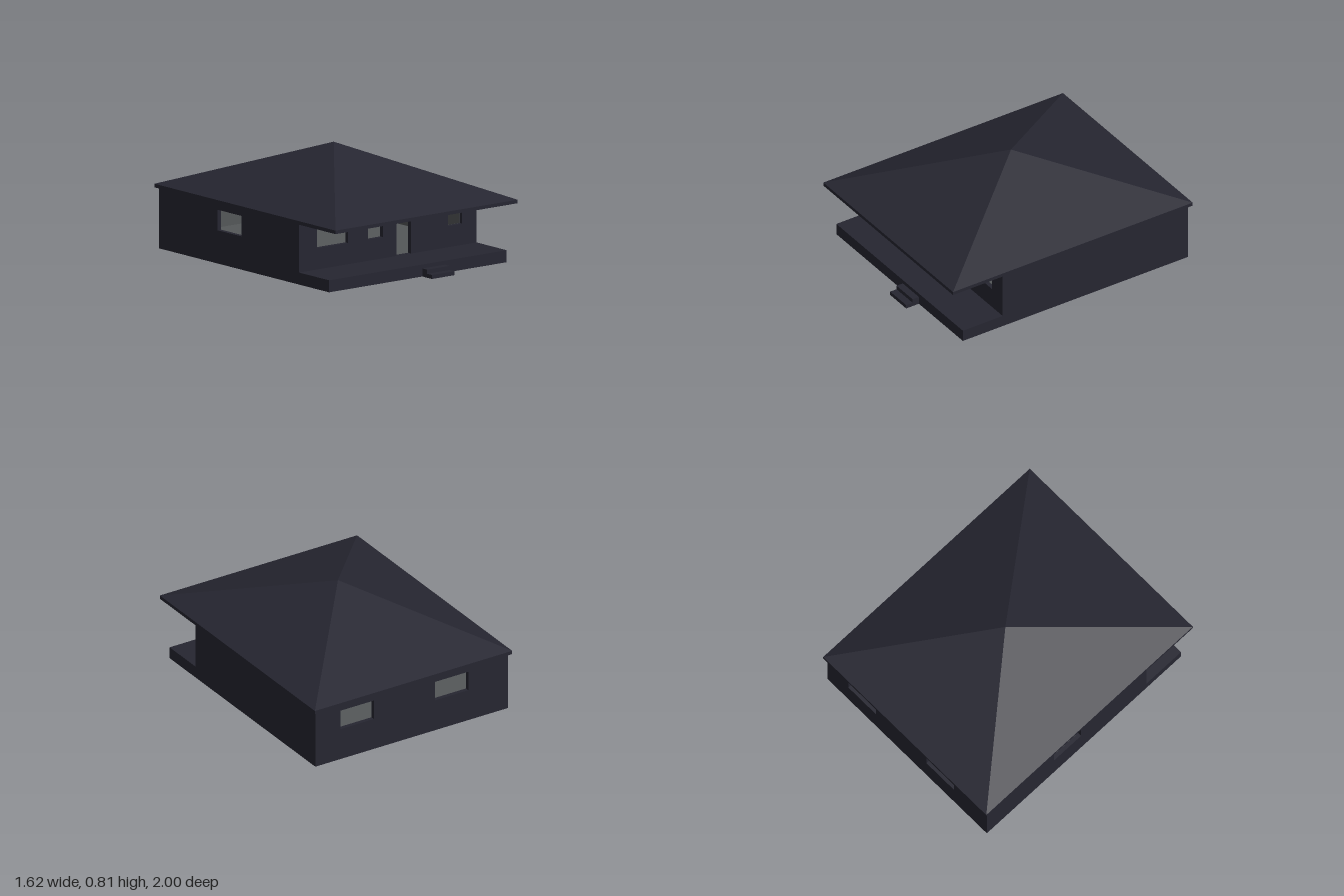
import * as THREE from 'three';

const navy = new THREE.MeshStandardMaterial({ color: 0x262631, side: THREE.DoubleSide });
navy.name = 'darkNavy';
const gray = new THREE.MeshStandardMaterial({ color: 0x545759, side: THREE.DoubleSide });
gray.name = 'interiorGray';

const W = 0.79, BACK = -0.975, FRONT = 0.565, PORCH = 0.895;
const FLOOR = 0.085, EAVE = 0.43, T = 0.03;
const MID = (BACK + FRONT) / 2, DEPTH = FRONT - BACK;

function add(group, name, geometry, material, x = 0, y = 0, z = 0) {
  const mesh = new THREE.Mesh(geometry, material);
  mesh.name = name;
  mesh.position.set(x, y, z);
  group.add(mesh);
  return mesh;
}

function box(group, name, x0, x1, y0, y1, z0, z1) {
  return add(group, name, new THREE.BoxGeometry(x1 - x0, y1 - y0, z1 - z0), navy,
    (x0 + x1) / 2, (y0 + y1) / 2, (z0 + z1) / 2);
}

// Horizontal sheet facing up
function sheet(group, name, material, halfX, y, z0, z1) {
  const g = new THREE.PlaneGeometry(halfX * 2, z1 - z0).rotateX(-Math.PI / 2);
  return add(group, name, g, material, 0, y, (z0 + z1) / 2);
}

// Rectangle with rectangular openings [x0, x1, y0, y1]
function panel(halfWidth, openings) {
  const rect = (s, x0, x1, y0, y1) =>
    s.moveTo(x0, y0).lineTo(x1, y0).lineTo(x1, y1).lineTo(x0, y1).closePath();
  const shape = rect(new THREE.Shape(), -halfWidth, halfWidth, FLOOR, EAVE);
  for (const o of openings) shape.holes.push(rect(new THREE.Path(), ...o));
  return shape;
}

// Wall with a navy outside and a gray inner lining; local +z points outdoors
function wall(group, name, width, openings, x, z, turn) {
  const g = new THREE.Group();
  g.name = name;
  const outer = new THREE.ExtrudeGeometry(panel(width / 2, openings), { depth: T, bevelEnabled: false });
  add(g, name + 'Outside', outer, navy, 0, 0, -T);
  const lining = new THREE.ShapeGeometry(panel(width / 2 - T, openings));
  add(g, name + 'Lining', lining, gray, 0, 0, -T - 0.002);
  g.position.set(x, 0, z);
  g.rotation.y = turn;
  group.add(g);
}

export function createModel() {
  const house = new THREE.Group();
  house.name = 'house';
  const win = (x0, x1) => [x0, x1, 0.235, 0.38];

  // Walls with windows and doorway
  wall(house, 'frontWall', W * 2,
    [win(-0.63, -0.355), win(-0.175, -0.045), [0.075, 0.205, FLOOR + 0.001, 0.38], win(0.535, 0.66)],
    0, FRONT, 0);
  wall(house, 'backWall', W * 2, [win(-0.585, -0.31), win(0.19, 0.465)], 0, BACK, Math.PI);
  wall(house, 'rightWall', DEPTH, [win(-0.125, 0.138)], -W, MID, -Math.PI / 2);
  wall(house, 'leftWall', DEPTH, [], W, MID, Math.PI / 2);

  // Thin skirt around the base, open underneath
  for (const [z, turn] of [[PORCH, 0], [BACK, Math.PI]]) {
    add(house, 'baseSkirt', new THREE.PlaneGeometry(W * 2, FLOOR), navy, 0, FLOOR / 2, z).rotation.y = turn;
  }
  for (const s of [-1, 1]) {
    add(house, 'sideSkirt', new THREE.PlaneGeometry(PORCH - BACK, FLOOR), navy,
      s * W, FLOOR / 2, (PORCH + BACK) / 2).rotation.y = s * Math.PI / 2;
  }

  // Floor, ceiling and porch deck
  sheet(house, 'floor', gray, W - 0.001, FLOOR - 0.001, BACK + 0.001, FRONT);
  sheet(house, 'ceiling', gray, W - T, EAVE - 0.002, BACK + T, FRONT - T);
  sheet(house, 'porchDeck', navy, W, FLOOR, FRONT, PORCH);

  // Entry steps
  box(house, 'upperStep', 0.04, 0.24, 0, 0.057, PORCH, 0.947);
  box(house, 'lowerStep', 0.04, 0.24, 0, 0.028, PORCH, 1.0);

  // Roof: eave slab and four-sided hip
  const RX = 0.81, Z0 = -1, Z1 = 0.99, TOP = 0.455;
  box(house, 'eaveSlab', -RX, RX, EAVE, TOP, Z0, Z1);
  const corners = [[-RX, TOP, Z1], [RX, TOP, Z1], [RX, TOP, Z0], [-RX, TOP, Z0]];
  const points = [];
  corners.forEach((c, i) => points.push(...c, ...corners[(i + 1) % 4], 0, 0.805, -0.03));
  const hip = new THREE.BufferGeometry();
  hip.setAttribute('position', new THREE.Float32BufferAttribute(points, 3));
  hip.computeVertexNormals();
  add(house, 'hipRoof', hip, navy);

  return house;
}
